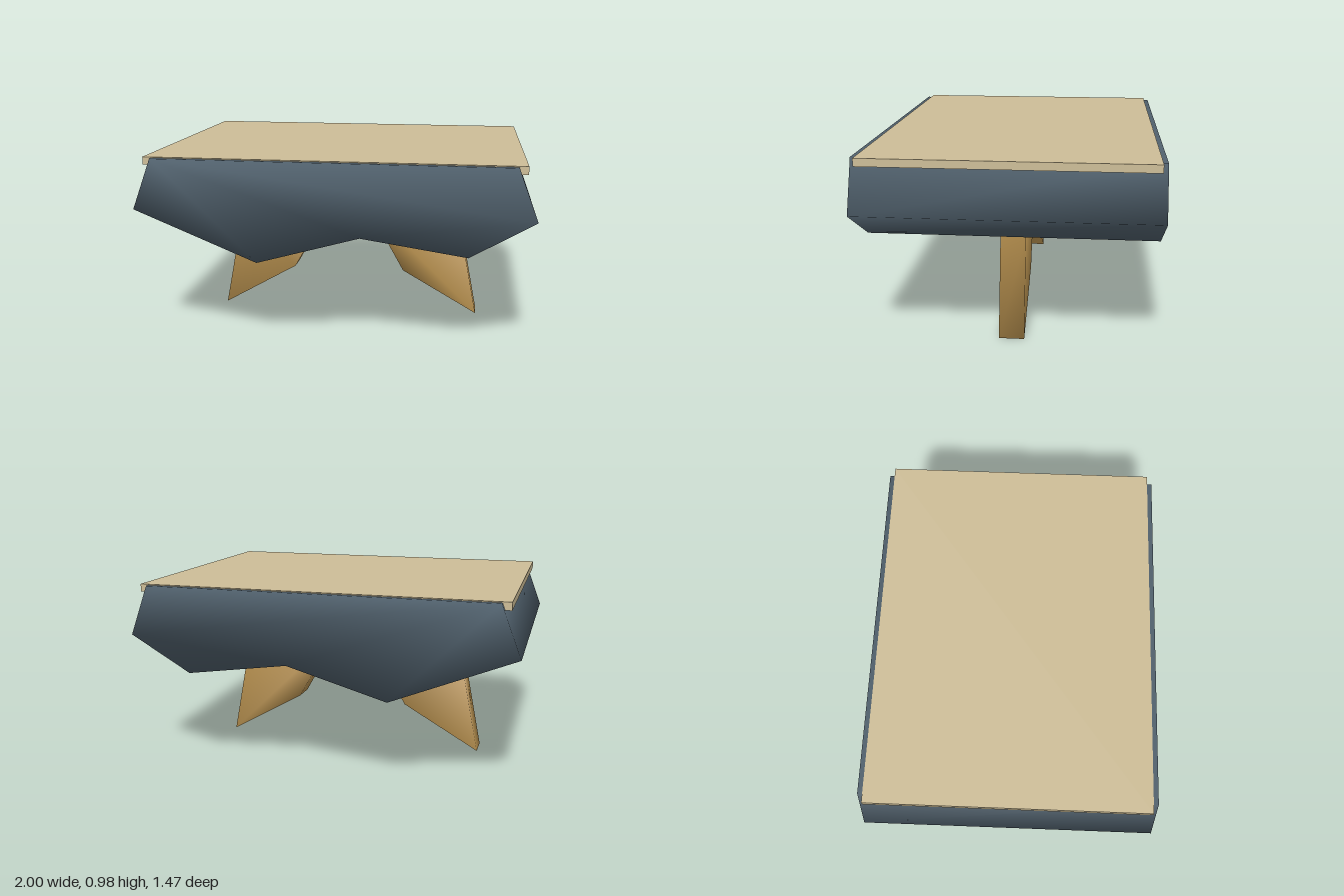
import * as THREE from 'three';
import { mergeVertices } from 'three/addons/utils/BufferGeometryUtils.js';

// Extrudes an outline evenly about z = 0, with shading that flows over every edge.
function smoothPrism(points, depth) {
  const shape = new THREE.Shape(points.map(([x, y]) => new THREE.Vector2(x, y)));
  let geometry = new THREE.ExtrudeGeometry(shape, { depth, bevelEnabled: false });
  geometry.translate(0, 0, -depth / 2);
  geometry.deleteAttribute('normal');
  geometry.deleteAttribute('uv');
  geometry = mergeVertices(geometry, 1e-4);
  geometry.computeVertexNormals();
  return geometry;
}

function addPart(group, name, geometry, color) {
  const mesh = new THREE.Mesh(geometry, new THREE.MeshStandardMaterial({ color }));
  mesh.name = name;
  group.add(mesh);
  return mesh;
}

export function createModel() {
  const model = new THREE.Group();
  model.name = 'table';

  // Faceted body with an uneven underside
  const bodyOutline = [
    [-0.9, 0.975], [-1, 0.715], [-0.37, 0.46], [0.15, 0.607],
    [0.68, 0.53], [1, 0.715], [0.9, 0.975],
  ];
  addPart(model, 'body', smoothPrism(bodyOutline, 1.47), 0x50606c);

  // Thin top panel, overhanging the body at both ends
  const top = addPart(model, 'topPanel', new THREE.BoxGeometry(1.89, 0.04, 1.42), 0xcdbd97);
  top.position.y = 0.96;

  // Mirrored pair of splayed, pointed legs
  const legOutline = [[0.11, 0.607], [0.315, 0.24], [0.735, 0], [0.63, 0.53]];
  for (const [name, side] of [['leftLeg', 1], ['rightLeg', -1]]) {
    const outline = legOutline.map(([x, y]) => [x * side, y]);
    addPart(model, name, smoothPrism(outline, 0.13), 0xb8914f);
  }

  return model;
}
